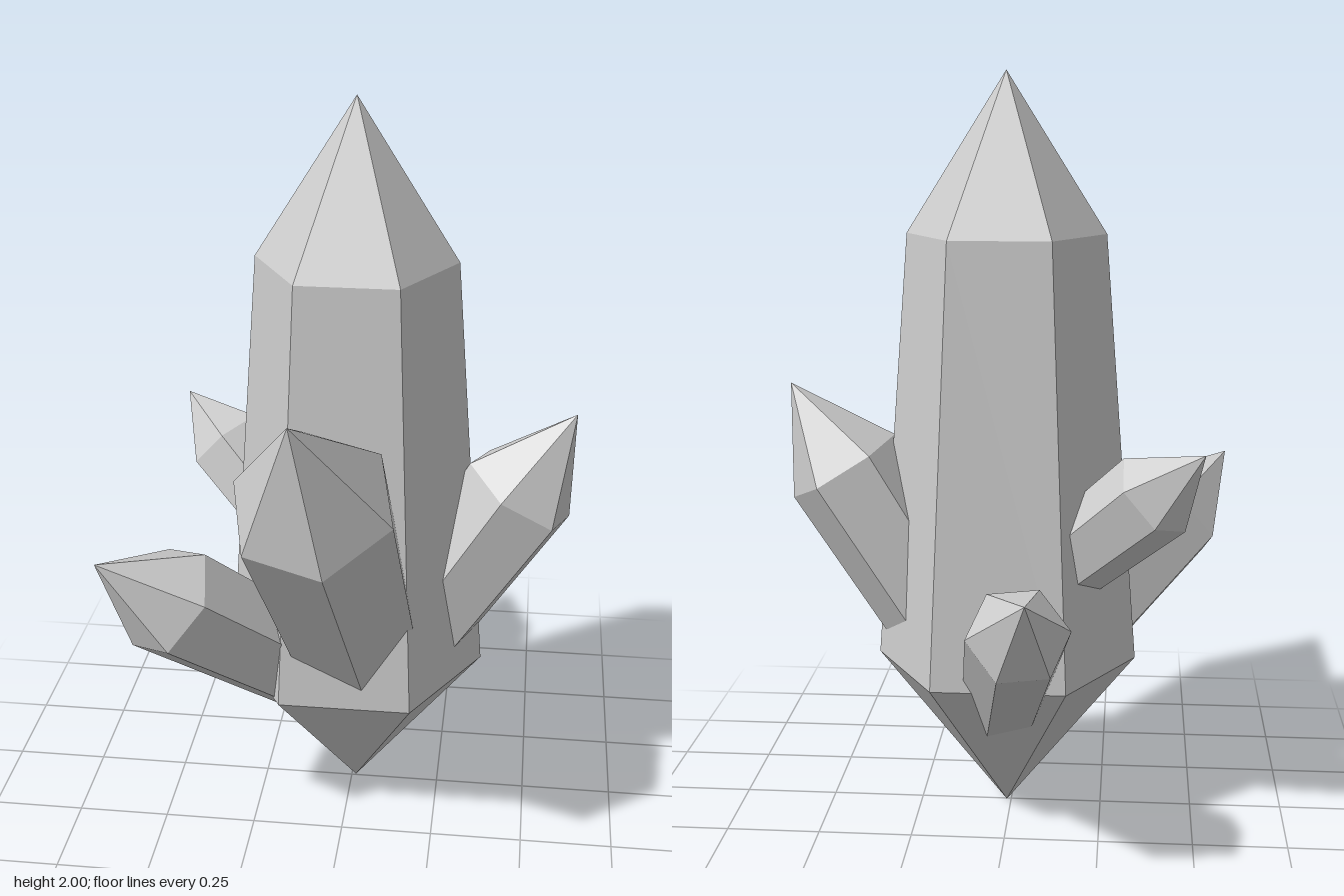
import * as THREE from 'three';

const material = new THREE.MeshStandardMaterial({ color: 0xcccccc, flatShading: true });

// Six-sided crystal: the profile's origin is the shoulder centre, its y axis runs
// toward the tip, and one corner of every ring lies on the side of "corner".
function crystal(name, profile, centre, tip, corner) {
  const points = profile.map(([r, y]) => new THREE.Vector2(r, y));
  const mesh = new THREE.Mesh(new THREE.LatheGeometry(points, 6), material);
  const origin = new THREE.Vector3(...centre);
  const up = new THREE.Vector3(...tip).sub(origin).normalize();
  const out = new THREE.Vector3(...corner).sub(origin).projectOnPlane(up).normalize();
  const side = new THREE.Vector3().crossVectors(up, out);
  mesh.quaternion.setFromRotationMatrix(new THREE.Matrix4().makeBasis(side, up, out));
  mesh.position.copy(origin);
  mesh.name = name;
  return mesh;
}

// Side crystals share one shape at different sizes, slightly narrower at the root
const sideProfile = (r, tipLength) => [[0, -4.5 * r], [0.86 * r, -4.5 * r], [r, 0], [0, tipLength]];

const sideCrystals = [
  // name, shoulder radius, shoulder centre, tip, one shoulder corner
  ['frontCrystal', 0.209, [-0.035, 1.145, 0.518], [-0.062, 1.425, 0.707], [0.166, 1.12, 0.577]],
  ['leftCrystal', 0.161, [0.452, 0.957, -0.007], [0.592, 1.183, -0.006], [0.406, 0.987, 0.143]],
  ['frontRightCrystal', 0.156, [-0.44, 0.754, 0.334], [-0.596, 0.913, 0.453], [-0.324, 0.796, 0.43]],
  ['backCrystal', 0.13, [-0.058, 0.67, -0.541], [-0.084, 0.796, -0.703], [0.07, 0.664, -0.566]],
  ['backRightCrystal', 0.121, [-0.382, 0.95, -0.243], [-0.506, 1.07, -0.315], [-0.459, 0.922, -0.154]],
];

export function createModel() {
  const group = new THREE.Group();
  group.name = 'crystalCluster';

  // Tall central crystal, pointed at both ends
  const main = [[0, -1.585], [0.352, -1.155], [0.262, 0], [0, 0.415]];
  group.add(crystal('mainCrystal', main, [0.012, 1.585, -0.004], [0.012, 2, -0.004], [1, 1.585, -0.004]));

  // Smaller crystals leaning outward around it
  for (const [name, r, centre, tip, corner] of sideCrystals) {
    const tipLength = new THREE.Vector3(...tip).distanceTo(new THREE.Vector3(...centre));
    group.add(crystal(name, sideProfile(r, tipLength), centre, tip, corner));
  }
  return group;
}
